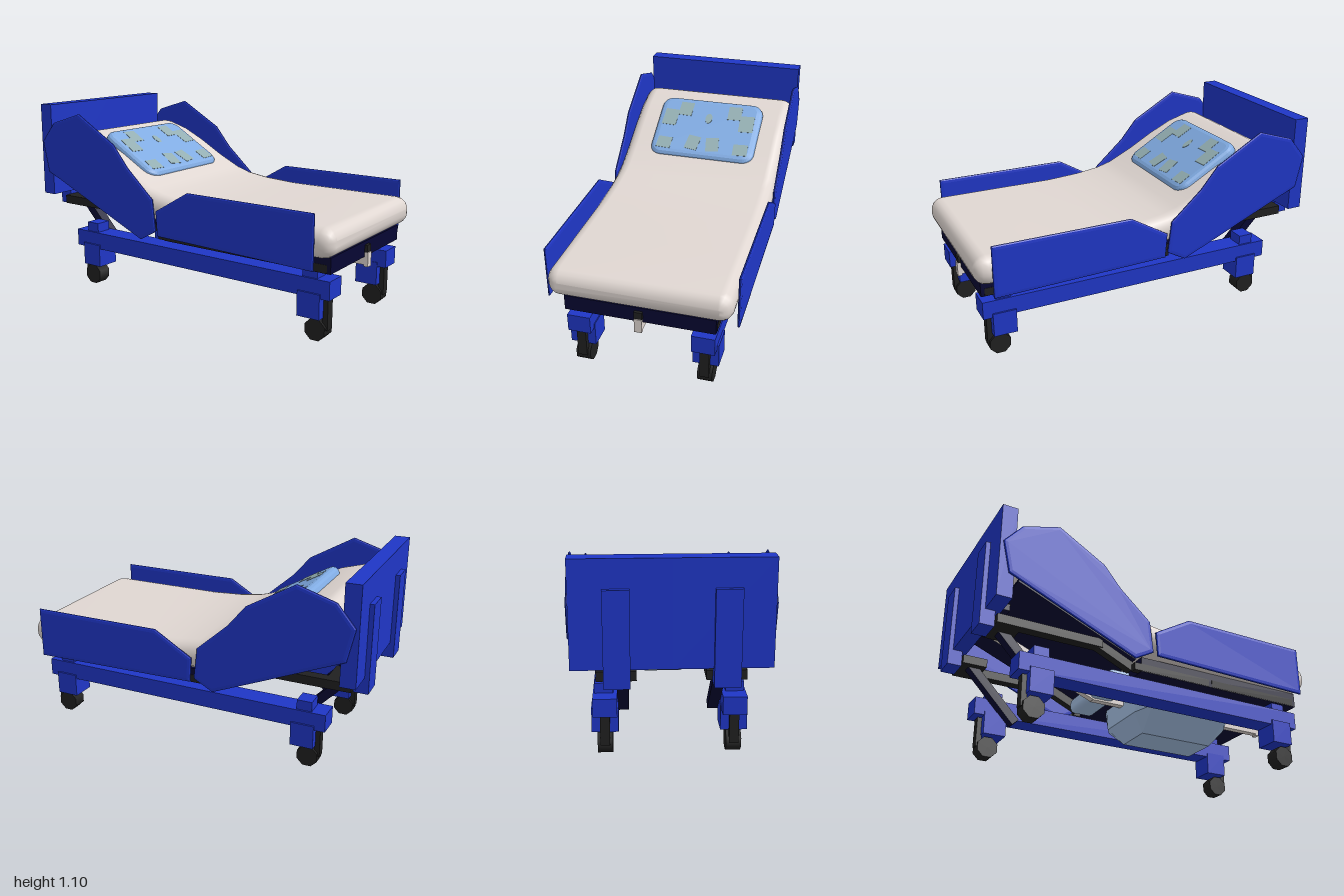
import * as THREE from 'three';
import { RoundedBoxGeometry } from 'three/addons/geometries/RoundedBoxGeometry.js';
import { ConvexGeometry } from 'three/addons/geometries/ConvexGeometry.js';

const mat = (name, color) => {
  const m = new THREE.MeshStandardMaterial({ color });
  m.name = name;
  return m;
};

// Rounded slab swept along a centre line of [z, y] points, running from foot to head
function sweptCushion(path, coreW, coreH, r) {
  const pts = path.map(([z, y]) => new THREE.Vector3(0, y, z));
  const last = pts.length - 1;
  const tangent = i => pts[Math.min(i + 1, last)].clone().sub(pts[Math.max(i - 1, 0)]).normalize();
  const rings = [];
  const ends = [0.12, 0.45, 0.8, 1.15];
  for (const a of ends) rings.push([0, -r * Math.cos(a), r * Math.sin(a)]);
  pts.forEach((p, i) => rings.push([i, 0, r]));
  for (const a of [...ends].reverse()) rings.push([last, r * Math.cos(a), r * Math.sin(a)]);

  const pos = [], idx = [], per = 20;
  for (const [i, shift, rad] of rings) {
    const t = tangent(i);
    const n = new THREE.Vector3(0, -t.z, t.y);
    const c = pts[i].clone().addScaledVector(t, shift);
    for (let k = 0; k < per; k++) {
      const q = Math.floor(k / 5), a = (q + (k % 5) / 4) * Math.PI / 2;
      const sx = q === 0 || q === 3 ? 1 : -1, sy = q < 2 ? 1 : -1;
      const p = c.clone().addScaledVector(n, sy * coreH + rad * Math.sin(a));
      pos.push(sx * coreW + rad * Math.cos(a), p.y, p.z);
    }
  }
  for (let i = 0; i < rings.length - 1; i++) {
    for (let k = 0; k < per; k++) {
      const a = i * per + k, b = i * per + (k + 1) % per;
      idx.push(a, a + per, b, b, a + per, b + per);
    }
  }
  const e = (rings.length - 1) * per;
  for (let k = 1; k < per - 1; k++) idx.push(0, k, k + 1, e, e + k + 1, e + k);
  const g = new THREE.BufferGeometry();
  g.setAttribute('position', new THREE.Float32BufferAttribute(pos, 3));
  g.setIndex(idx);
  g.computeVertexNormals();
  return g;
}

// Thin side panel from a [z, y] outline, slightly domed by its bevel
function sidePanel(outline, thick) {
  const shape = new THREE.Shape(outline.map(([z, y]) => new THREE.Vector2(z, y)));
  const bevel = thick * 0.35;
  const depth = thick - 2 * bevel;
  const g = new THREE.ExtrudeGeometry(shape, {
    depth, bevelThickness: bevel, bevelSize: 0.02, bevelOffset: -0.02, bevelSegments: 2,
  });
  return g.translate(0, 0, -depth / 2).rotateY(-Math.PI / 2);
}

function roundedRect(w, h, r) {
  const s = new THREE.Shape();
  s.absarc(w / 2 - r, h / 2 - r, r, 0, Math.PI / 2);
  s.absarc(-w / 2 + r, h / 2 - r, r, Math.PI / 2, Math.PI);
  s.absarc(-w / 2 + r, -h / 2 + r, r, Math.PI, Math.PI * 1.5);
  s.absarc(w / 2 - r, -h / 2 + r, r, Math.PI * 1.5, Math.PI * 2);
  return s;
}

export function createModel() {
  const blue = mat('royal blue', 0x1f36c6);
  const navy = mat('dark navy', 0x070732);
  const black = mat('black', 0x202020);
  const cream = mat('warm white', 0xe0d7d2);
  const paleBlue = mat('pale blue', 0xa8c4e8);
  const pillowBlue = mat('pillow blue', 0x80abe2);
  const patchGreen = mat('grey green', 0x93aeb2);

  const model = new THREE.Group();
  model.name = 'adjustableBed';
  const add = (name, geo, material, parent = model) => {
    const m = new THREE.Mesh(geo, material);
    m.name = name;
    parent.add(m);
    return m;
  };
  // Box given by its lower and upper limits
  const box = (name, material, [x0, x1], [y0, y1], [z0, z1]) => {
    const m = add(name, new THREE.BoxGeometry(Math.abs(x1 - x0), y1 - y0, z1 - z0), material);
    m.position.set((x0 + x1) / 2, (y0 + y1) / 2, (z0 + z1) / 2);
  };
  // Slanted bar between two [z, y] points
  const bar = (name, material, x, w, t, [z0, y0], [z1, y1]) => {
    const m = add(name, new THREE.BoxGeometry(w, t, Math.hypot(z1 - z0, y1 - y0)), material);
    m.position.set(x, (y0 + y1) / 2, (z0 + z1) / 2);
    m.rotation.x = Math.atan2(-(y1 - y0), z1 - z0);
  };

  // Mattress, rising steeply under the pillow and easing off at the head
  add('mattress', sweptCushion(
    [[0.93, 0.54], [0.6, 0.54], [0.25, 0.54], [0.05, 0.552], [-0.1, 0.573], [-0.2, 0.602],
      [-0.35, 0.674], [-0.5, 0.758], [-0.63, 0.82], [-0.755, 0.856]],
    0.415, 0.01, 0.07), cream);

  // Pillow, half sunk into the mattress, with patches on its flat top
  const pillow = new THREE.Group();
  pillow.name = 'pillow';
  pillow.position.set(0, 0.808, -0.442);
  pillow.rotation.x = -Math.PI / 2 + 0.53;
  model.add(pillow);
  add('pillowBody', new THREE.ExtrudeGeometry(roundedRect(0.65, 0.44, 0.07), {
    depth: 0.02, bevelThickness: 0.03, bevelSize: 0.035, bevelOffset: -0.035, bevelSegments: 3, curveSegments: 4,
  }).translate(0, 0, -0.01), pillowBlue, pillow);
  const patch = (x, y, w, h, turn) => {
    const p = add('pillowPatch', new THREE.BoxGeometry(w, h, 0.002), patchGreen, pillow);
    p.position.set(x, y, 0.0405);
    p.rotation.z = turn;
  };
  for (const s of [1, -1]) {
    patch(s * 0.243, 0.055, 0.09, 0.12, s * 0.04);
    patch(s * 0.157, 0.128, 0.085, 0.1, s * 0.03);
    patch(s * 0.062, -0.122, 0.08, 0.1, s * 0.15);
    patch(s * 0.24, -0.14, 0.09, 0.08, s * 0.05);
  }
  const dot = add('pillowDot', new THREE.CylinderGeometry(0.022, 0.022, 0.002, 12), patchGreen, pillow);
  dot.rotation.x = Math.PI / 2;
  dot.scale.z = 1.7;
  dot.position.set(0, 0.07, 0.0405);

  // Headboard with its two rear posts
  for (const s of [1, -1]) {
    box('headboardHalf', blue, [0, s * 0.49], [0.56, 1.105], [-0.975, -0.89]);
    box('headboardPost', blue, [s * 0.2, s * 0.33], [0.47, 0.96], [-1, -0.92]);
  }

  // Mattress deck: flat seat and tilted backrest
  box('seatDeck', navy, [-0.4, 0.4], [0.375, 0.46], [-0.1, 0.96]);
  bar('backrestDeck', navy, 0, 0.78, 0.05, [-0.12, 0.465], [-0.82, 0.755]);
  box('headCrossbar', navy, [-0.18, 0.18], [0.67, 0.71], [-0.89, -0.79]);

  // Central rail under the deck, rising toward the head
  box('centreRail', cream, [-0.02, 0.02], [0.33, 0.375], [-0.2, 0.98]);
  box('centreRailEnd', cream, [-0.02, 0.02], [0.32, 0.4], [0.955, 0.98]);
  box('centreRailClip', black, [-0.022, 0.022], [0.4, 0.44], [0.94, 0.975]);
  bar('centreRailRise', cream, 0, 0.04, 0.05, [-0.19, 0.355], [-0.89, 0.64]);

  // Motor housing under the seat
  const hull = [];
  for (const s of [1, -1]) {
    for (const [x, y, z] of [
      [0.11, 0.145, 0.07], [0.11, 0.145, 0.525], [0.26, 0.26, 0.05], [0.26, 0.26, 0.54],
      [0.16, 0.24, -0.01], [0.16, 0.24, 0.6], [0.27, 0.4, 0.03], [0.27, 0.4, 0.6],
      [0.2, 0.4, 0], [0.2, 0.4, 0.64],
    ]) hull.push(new THREE.Vector3(s * x, y, z));
  }
  add('motorHousing', new ConvexGeometry(hull), paleBlue);
  add('hingeCover', new RoundedBoxGeometry(0.53, 0.09, 0.15, 2, 0.03), paleBlue).position.set(0, 0.385, -0.145);

  const lowerOutline = [[0.92, 0.41], [0.92, 0.7], [0.15, 0.7], [-0.07, 0.57], [-0.06, 0.43]];
  const upperOutline = [[-0.08, 0.45], [-0.1, 0.63], [-0.28, 0.79], [-0.38, 0.91], [-0.65, 1.065],
    [-0.86, 1.0], [-0.96, 0.88], [-0.92, 0.7], [-0.19, 0.39]];

  for (const s of [1, -1]) {
    // Side guards
    add('lowerSideGuard', sidePanel(lowerOutline, 0.018), blue).position.x = s * 0.503;
    add('upperSideGuard', sidePanel(upperOutline, 0.018), blue).position.x = s * 0.494;

    // Black frame along the deck and under the backrest
    box('footDeckEdge', black, [s * 0.36, s * 0.402], [0.378, 0.42], [0.36, 0.94]);
    box('seatDeckEdge', black, [s * 0.36, s * 0.402], [0.378, 0.42], [-0.14, 0.34]);
    bar('frameRise', black, s * 0.335, 0.05, 0.05, [-0.13, 0.41], [-0.34, 0.505]);
    box('headFrame', black, [s * 0.31, s * 0.37], [0.48, 0.53], [-0.89, -0.32]);
    box('headFramePlate', black, [s * 0.17, s * 0.37], [0.48, 0.53], [-0.92, -0.78]);
    bar('headStrut', navy, s * 0.24, 0.06, 0.05, [-0.86, 0.5], [-0.575, 0.2]);

    // Base rail
    box('baseRail', blue, [s * 0.27, s * 0.395], [0.235, 0.335], [-0.8, 0.955]);

    // Casters with their housings and lift columns
    for (const [z, out] of [[0.84, 1], [-0.675, -1]]) {
      box('liftColumn', blue, [s * 0.29, s * 0.385], [0.33, 0.39], [z - 0.045, z + 0.04]);
      box('casterHousing', blue, [s * 0.265, s * 0.405], [0.125, 0.26], [z - 0.065, z + 0.065]);
      const zf = z + out * 0.075;
      box('casterFork', black, [s * 0.31, s * 0.36], [0.06, 0.23], [zf - 0.016, zf + 0.016]);
      const wheelGeo = new THREE.CylinderGeometry(0.062, 0.062, 0.08, 8).rotateY(Math.PI / 8).rotateZ(Math.PI / 2);
      add('casterWheel', wheelGeo, black).position.set(s * 0.335, 0.0575, z + out * 0.025);
    }
  }
  return model;
}
